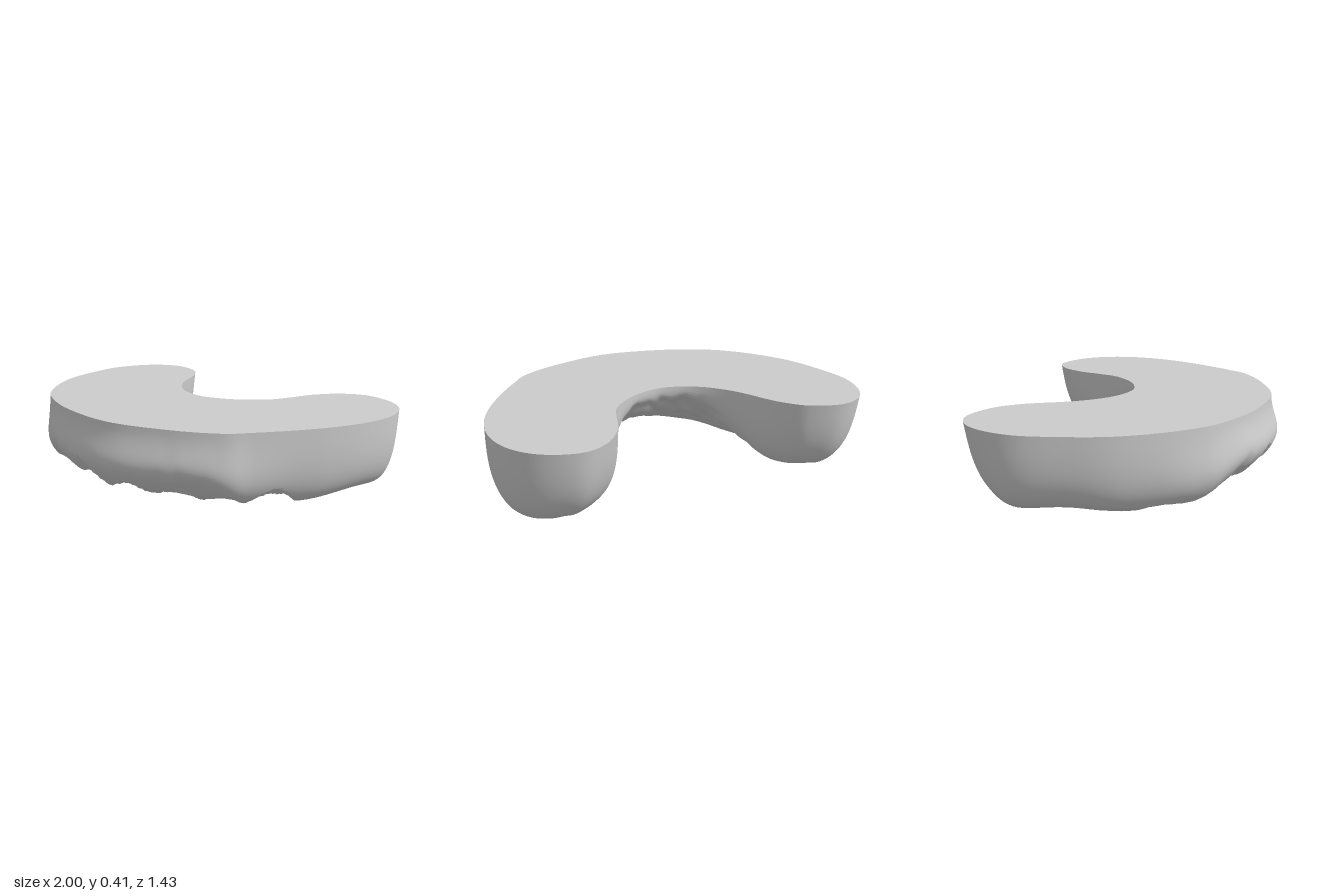
import * as THREE from 'three';
import { toCreasedNormals } from 'three/addons/utils/BufferGeometryUtils.js';

const { smoothstep, clamp } = THREE.MathUtils;
const SAMPLES = 480, WALL = 34, FLOOR = 40;

// Crest line of the gum ridge, as [x, z]
const crest = new THREE.CatmullRomCurve3([
  [-0.7, -0.45], [-0.69, -0.2], [-0.6, 0.12], [-0.42, 0.39], [-0.21, 0.51], [0, 0.545],
  [0.21, 0.5], [0.42, 0.38], [0.58, 0.12], [0.68, -0.2], [0.7, -0.45],
].map(([x, z]) => new THREE.Vector3(x, 0, z)));

// Horseshoe outline of the flat base, as [x, z, matching place on the crest (0 to 10)]
const outline = new THREE.CatmullRomCurve3([
  [0.02, 0.67, 5], [0.35, 0.59, 6.4], [0.57, 0.48, 7.2], [0.67, 0.37, 7.6], [0.78, 0.22, 8],
  [0.89, 0.04, 8.5], [0.97, -0.15, 9], [1, -0.35, 9.6], [0.96, -0.53, 10], [0.85, -0.66, 10],
  [0.68, -0.72, 10], [0.54, -0.66, 10], [0.44, -0.53, 9.8], [0.39, -0.4, 9.4], [0.34, -0.28, 8.6],
  [0.27, -0.2, 7.8], [0.19, -0.14, 7], [0.1, -0.1, 6], [0, -0.08, 5], [-0.1, -0.1, 4],
  [-0.18, -0.14, 3], [-0.25, -0.2, 2.2], [-0.32, -0.29, 1.3], [-0.37, -0.385, 0.6],
  [-0.41, -0.48, 0.2], [-0.46, -0.57, 0], [-0.55, -0.665, 0], [-0.71, -0.72, 0], [-0.85, -0.675, 0],
  [-0.95, -0.55, 0], [-1, -0.37, 0.4], [-0.98, -0.15, 1.1], [-0.93, 0.06, 1.6], [-0.83, 0.25, 2.1],
  [-0.72, 0.39, 2.5], [-0.6, 0.49, 2.9], [-0.34, 0.61, 3.6],
].map(([x, z, u]) => new THREE.Vector3(x, u, z)), true, 'catmullrom', 0.5);

// Conical tooth sockets: [x, z, apex height, radius at the gum]
const sockets = [
  [-0.19, 0.64, 0.28, 0.17], [-0.43, 0.55, 0.2, 0.14], [-0.56, 0.4, 0.15, 0.11],
  [-0.66, 0.19, 0.15, 0.13], [-0.7, -0.06, 0.15, 0.15], [-0.72, -0.37, 0.12, 0.16],
  [0.1, 0.61, 0.16, 0.15], [0.36, 0.55, 0.21, 0.13], [0.53, 0.41, 0.15, 0.11],
  [0.68, 0.23, 0.18, 0.14], [0.64, -0.03, 0.14, 0.14], [0.7, -0.3, 0.15, 0.16],
];

const topY = (x, z) => 0.413 + 0.006 * z - 0.006 * x;

// Height of the underside: low ridge, sloping up to the back edge of a wrinkled palate
function underside(x, z, d) {
  const ridge = 0.024 + 0.05 * smoothstep(z, 0.36, 0.56) - 0.012 * Math.cos(10.5 * (z - 0.1));
  const area = smoothstep(z, -0.45, -0.08) * (1 - smoothstep(Math.abs(x), 0.42, 0.66));
  const palate = area * clamp((d - 0.06) / 0.5, 0, 1);
  const folds = Math.sin(38 * z + 4 * Math.sin(9 * x) + 2 * Math.sin(23 * x + 11 * z))
    + 0.6 * Math.sin(43 * x + 27 * z + 3 * Math.sin(17 * z));
  return ridge + palate * 0.27 + smoothstep(palate, 0, 0.4) * 0.008 * folds;
}

function cutSockets(x, y, z) {
  for (const [sx, sz, apex, radius] of sockets) {
    const dx = x - sx, dz = z - sz;
    // Shallow flutes fan out from the apex
    const flute = 1 + 0.03 * Math.sin(9 * Math.atan2(dz, dx));
    y = Math.max(y, apex - (apex - 0.03) * Math.hypot(dx, dz) / radius * flute);
  }
  return y;
}

function makeMesh(name, positions, indices, material) {
  const geometry = new THREE.BufferGeometry();
  geometry.setAttribute('position', new THREE.Float32BufferAttribute(positions, 3));
  geometry.setIndex(indices);
  const mesh = new THREE.Mesh(toCreasedNormals(geometry, 0.6), material);
  mesh.name = name;
  return mesh;
}

// Joins successive rings of equal length with triangles
function ringIndices(rings) {
  const indices = [];
  for (let r = 0; r < rings - 1; r++) {
    for (let i = 0; i < SAMPLES; i++) {
      const a = r * SAMPLES + i, b = r * SAMPLES + (i + 1) % SAMPLES;
      const c = a + SAMPLES, d = b + SAMPLES;
      indices.push(a, c, b, b, c, d);
    }
  }
  return indices;
}

export function createModel() {
  const group = new THREE.Group();
  group.name = 'upperGumArch';
  const material = new THREE.MeshStandardMaterial({ color: 0xcccccc });

  // Pairs of an outline point and its crest point
  const spokes = [];
  for (let i = 0; i < SAMPLES; i++) {
    const p = outline.getPoint(i / SAMPLES);
    const s = crest.getPoint(clamp(p.y / 10, 0, 1));
    spokes.push({ p, s, length: Math.hypot(s.x - p.x, s.z - p.z) });
  }

  // Gum: rounded wall from the base, then the underside in to the crest
  const gum = [];
  for (let r = 0; r <= WALL + FLOOR; r++) {
    const a = Math.min(1, r / WALL) * Math.PI / 2;
    const drop = Math.sin(a) ** 0.75;
    for (const { p, s, length } of spokes) {
      // Rounding is tight at the front, wide on the arms
      const round = 0.18 - 0.11 * smoothstep(p.z, 0.1, 0.55) - 0.04 * smoothstep(p.x, 0.7, 0.9);
      const taper = 0.055 * smoothstep(-p.z, 0.4, 0.7);
      const bulge = 0.05 * smoothstep(p.z, 0.1, 0.75) * Math.sin(Math.PI * drop ** 1.8);
      let inset = Math.min(round, length * 0.7) * (1 - Math.cos(a)) ** 1.2 + taper * drop - bulge;
      if (r > WALL) inset += (length - inset) * (r - WALL) / FLOOR;
      const f = inset / length;
      const x = p.x + (s.x - p.x) * f, z = p.z + (s.z - p.z) * f;
      const top = topY(p.x, p.z);
      const y = top - (top - underside(x, z, length - inset)) * drop;
      gum.push(x, cutSockets(x, y, z), z);
    }
  }
  group.add(makeMesh('gumAndPalate', gum, ringIndices(WALL + FLOOR + 1), material));

  // Flat base closing the top
  const rim = spokes.map(({ p }) => new THREE.Vector2(p.x, -p.z));
  const base = spokes.flatMap(({ p }) => [p.x, topY(p.x, p.z), p.z]);
  const faces = THREE.ShapeUtils.triangulateShape(rim, []).flat();
  group.add(makeMesh('flatBase', base, faces, material));

  return group;
}
